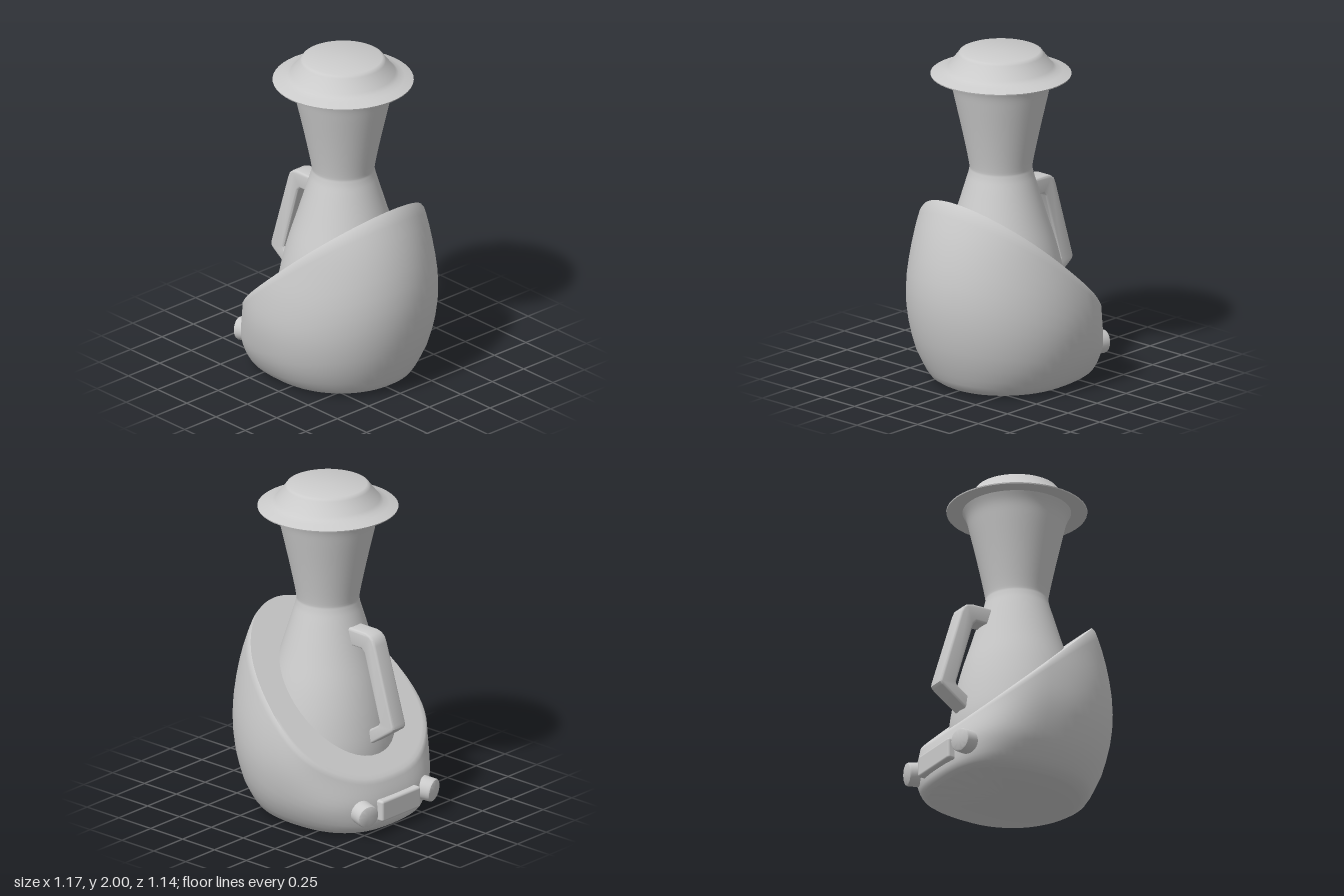
import * as THREE from 'three';
import { toCreasedNormals } from 'three/addons/utils/BufferGeometryUtils.js';
import { RoundedBoxGeometry } from 'three/addons/geometries/RoundedBoxGeometry.js';

const AXIS_X = 0.012; // axis of the carafe
const MID_X = -0.05; // widest line of the base
const plane = (x) => 0.765 + 0.92 * x; // slanted top of the base

// Base sections: height, reach to the left, reach to the right, half depth
const SECTIONS = [
  [0, 0.44, 0.42, 0.39], [0.03, 0.475, 0.475, 0.435], [0.1, 0.487, 0.515, 0.485],
  [0.2, 0.482, 0.56, 0.53], [0.4, 0.42, 0.612, 0.568], [0.6, 0.4, 0.63, 0.562],
  [0.8, 0.38, 0.61, 0.53], [1.0, 0.35, 0.56, 0.487], [1.2, 0.3, 0.485, 0.41],
];

// Smooth cubic interpolation of one column of the section table
function sample(y, col) {
  const last = SECTIONS.length - 1;
  let k = 0;
  while (k < last - 1 && y > SECTIONS[k + 1][0]) k++;
  const slope = (i) => {
    const a = SECTIONS[Math.max(i - 1, 0)], b = SECTIONS[Math.min(i + 1, last)];
    return (b[col] - a[col]) / (b[0] - a[0]);
  };
  const [p, q] = [SECTIONS[k], SECTIONS[k + 1]];
  const h = q[0] - p[0], t = (y - p[0]) / h, t2 = t * t, t3 = t2 * t;
  return (2 * t3 - 3 * t2 + 1) * p[col] + (t3 - 2 * t2 + t) * h * slope(k)
    + (3 * t2 - 2 * t3) * q[col] + (t3 - t2) * h * slope(k + 1);
}

// Point on the base wall: round to the right, squarer to the left
function wall(angle, y) {
  const c = Math.cos(angle), s = Math.sin(angle), e = c < 0 ? 2 / 2.65 : 1;
  return new THREE.Vector3(
    MID_X + Math.sign(c) * Math.abs(c) ** e * sample(y, c < 0 ? 1 : 2),
    y,
    Math.sign(s) * Math.abs(s) ** e * sample(y, 3));
}

// Height at which the wall meets the slanted plane
function rimHeight(angle) {
  let lo = 0, hi = 1.2;
  for (let i = 0; i < 30; i++) {
    const y = (lo + hi) / 2;
    if (y < plane(wall(angle, y).x)) lo = y; else hi = y;
  }
  return lo;
}

function baseGeometry() {
  const sides = 64;
  const up = [0, 0.01, 0.03, 0.06, 0.1, 0.17, 0.25, 0.33, 0.42, 0.51, 0.6, 0.69, 0.78, 0.86, 0.93, 0.975];
  const inward = [0.015, 0.05, 0.1, 0.4, 0.999];
  const topCentre = new THREE.Vector3(0, plane(0), 0);
  const bottomCentre = new THREE.Vector3(MID_X, 0, 0);
  const columns = [];
  for (let i = 0; i < sides; i++) {
    const a = (i / sides) * Math.PI * 2, top = rimHeight(a), rim = wall(a, top);
    columns.push([
      wall(a, 0).lerp(bottomCentre, 0.999),
      ...up.map((v) => wall(a, v * top)),
      ...inward.map((t) => rim.clone().lerp(topCentre, t)),
    ]);
  }
  const rows = columns[0].length, index = [];
  for (let i = 0; i < sides; i++) {
    const j = (i + 1) % sides;
    for (let r = 0; r < rows - 1; r++) {
      const a = i * rows + r, b = j * rows + r;
      index.push(a, a + 1, b + 1, a, b + 1, b);
    }
  }
  const g = new THREE.BufferGeometry().setFromPoints(columns.flat());
  g.setIndex(index);
  return toCreasedNormals(g, 0.9);
}

const toPoints = (list) => list.map(([x, y]) => new THREE.Vector2(x, y));

export function createModel() {
  const group = new THREE.Group();
  const material = new THREE.MeshStandardMaterial({ color: 0xcccccc });
  const add = (name, geometry, x = 0, y = 0, z = 0) => {
    const mesh = new THREE.Mesh(geometry, material);
    mesh.name = name;
    mesh.position.set(x, y, z);
    group.add(mesh);
    return mesh;
  };

  // Slanted base that cradles the carafe
  add('base', baseGeometry());

  // Carafe with a narrow waist
  const carafe = new THREE.SplineCurve(toPoints([
    [0.38, 0.15], [0.398, 0.4], [0.375, 0.6], [0.33, 0.8], [0.268, 1.0], [0.21, 1.19],
    [0.187, 1.27], [0.187, 1.32], [0.223, 1.5], [0.268, 1.7], [0.292, 1.8], [0.32, 1.86],
  ])).getPoints(48);
  add('carafe', new THREE.LatheGeometry([new THREE.Vector2(0, 0.15), ...carafe], 48), AXIS_X);

  // Lid with a wide brim
  const lid = new THREE.LatheGeometry(toPoints([
    [0, 1.855], [0.41, 1.855], [0.412, 1.862], [0.36, 1.88], [0.325, 1.892], [0.305, 1.91],
    [0.25, 1.982], [0.242, 1.994], [0.228, 2], [0, 2],
  ]), 48);
  add('lid', toCreasedNormals(lid, 0.6), AXIS_X);

  // Handle, a bent bar with softened edges
  const shape = new THREE.Shape(toPoints([
    [-0.15, 1.165], [-0.33, 1.165], [-0.365, 1.155], [-0.39, 1.135], [-0.405, 1.1],
    [-0.548, 0.635], [-0.55, 0.615], [-0.538, 0.597], [-0.34, 0.46], [-0.3, 0.53],
    [-0.43, 0.615], [-0.44, 0.635], [-0.32, 1.04], [-0.3, 1.06], [-0.15, 1.06],
  ]));
  const bevel = 0.014, width = 0.115;
  const handle = new THREE.ExtrudeGeometry(shape, {
    depth: width - 2 * bevel, bevelThickness: bevel, bevelSize: bevel,
    bevelOffset: -bevel, bevelSegments: 3,
  });
  add('handle', toCreasedNormals(handle, 0.6), 0, 0, bevel - width / 2);

  // Control panel on the low side, with a knob at each end
  add('controlPanel', new RoundedBoxGeometry(0.07, 0.13, 0.335, 3, 0.015), -0.534, 0.14, 0);
  const knob = toCreasedNormals(new THREE.LatheGeometry(toPoints([
    [0, 0], [0.073, 0], [0.07, 0.115], [0.066, 0.124], [0.058, 0.128], [0, 0.128],
  ]), 28), 0.6);
  for (const side of [-1, 1]) {
    const out = new THREE.Vector3(-0.96, -0.1, 0.26 * side).normalize();
    const mesh = add(side < 0 ? 'backKnob' : 'frontKnob', knob, -0.446, 0.155, 0.253 * side);
    mesh.quaternion.setFromUnitVectors(new THREE.Vector3(0, 1, 0), out);
  }
  return group;
}
